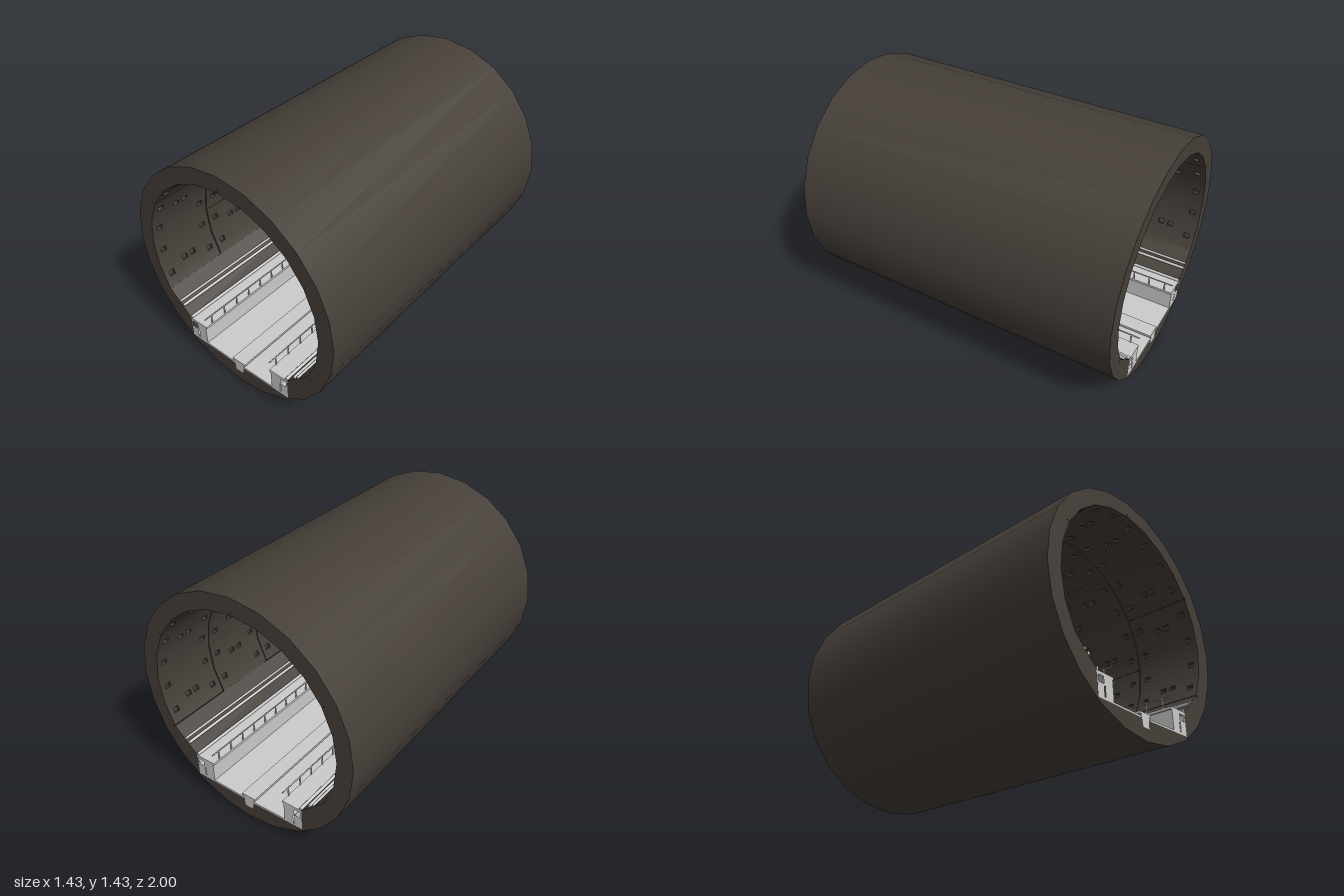
import * as THREE from 'three';
import { toCreasedNormals } from 'three/addons/utils/BufferGeometryUtils.js';

const LENGTH = 2, CY = 0.714, OUTER = 0.713, INNER = 0.614, STEP = Math.PI / 12;
const concrete = new THREE.MeshStandardMaterial({ color: 0x463f39 });
const grey = new THREE.MeshStandardMaterial({ color: 0xcccccc });

const polar = (r, a) => [r * Math.cos(a), CY + r * Math.sin(a)];
const toShape = (pts) => new THREE.Shape(pts.map(([x, y]) => new THREE.Vector2(x, y)));
const rect = (x0, y0, x1, y1) => [[x0, y0], [x1, y0], [x1, y1], [x0, y1]];

function addMesh(parent, name, geometry, material) {
  const mesh = new THREE.Mesh(geometry, material);
  mesh.name = name;
  parent.add(mesh);
  return mesh;
}

// Runs a cross-section along the whole length of the tunnel
function alongTunnel(pts, holes = []) {
  const shape = toShape(pts);
  holes.forEach((h) => shape.holes.push(toShape(h)));
  const g = new THREE.ExtrudeGeometry(shape, { depth: LENGTH, bevelEnabled: false });
  g.translate(0, 0, -LENGTH / 2);
  return toCreasedNormals(g, 0.5);
}

// One lining panel: a flat facet with bolt pockets cut through to the shell
function panelGeometry(u0, u1, z0, z1, pockets, angle) {
  const shape = toShape(rect(u0, z0, u1, z1));
  pockets.forEach(([u, z]) => shape.holes.push(toShape(rect(u - 0.015, z - 0.018, u + 0.015, z + 0.018))));
  const g = new THREE.ExtrudeGeometry(shape, { depth: 0.02, bevelEnabled: false });
  const rad = new THREE.Vector3(Math.cos(angle), Math.sin(angle), 0);
  const tan = new THREE.Vector3(Math.sin(angle), -Math.cos(angle), 0);
  const apothem = INNER * Math.cos(STEP / 2);
  // local x runs round the ring, local y along the tunnel, local z outwards
  const m = new THREE.Matrix4().makeBasis(tan.clone().negate(), new THREE.Vector3(0, 0, 1), rad);
  if (m.determinant() < 0) m.makeBasis(tan, new THREE.Vector3(0, 0, 1), rad);
  m.setPosition(rad.x * apothem, CY + rad.y * apothem, 0);
  g.applyMatrix4(m);
  // smooth the inner face so that it reads as a round bore
  const p = g.attributes.position, n = g.attributes.normal;
  for (let i = 0; i < p.count; i++) {
    if (n.getX(i) * rad.x + n.getY(i) * rad.y > -0.9) continue;
    const x = p.getX(i), y = p.getY(i) - CY, l = Math.hypot(x, y);
    n.setXYZ(i, -x / l, -y / l, 0);
  }
  return g;
}

function buildShell(parent) {
  const outer = [];
  for (let i = 0; i < 24; i++) outer.push(polar(OUTER, i * STEP));
  const bore = [];
  for (let i = -2; i <= 14; i++) bore.push(polar(0.633, i * STEP));
  // benches, floor and drain notch, from the left bench round to the right
  const half = [[0.531, 0.407], [0.38, 0.265], [0.38, 0.125], [0.035, 0.118], [0.027, 0.072]];
  half.forEach(([x, y]) => bore.push([-x, y]));
  [...half].reverse().forEach((p) => bore.push(p));
  addMesh(parent, 'tunnelShell', alongTunnel(outer, [bore]), concrete);
}

function buildLining(parent) {
  const rings = 5, ringLength = LENGTH / rings, gap = 0.003;
  const halfWidth = INNER * Math.sin(STEP / 2);
  for (let r = 0; r < rings; r++) {
    const ring = new THREE.Group();
    ring.name = 'liningRing' + (r + 1);
    const z0 = -1 + r * ringLength + (r > 0 ? gap : 0);
    const z1 = -1 + (r + 1) * ringLength - (r < rings - 1 ? gap : 0);
    const mid = (z0 + z1) / 2, stagger = (r % 2) * 2;
    for (let k = 0; k < 16; k++) {
      const place = (k + stagger) % 4;
      // panels beside a longitudinal joint carry an extra pair of pockets
      const pockets = [[0, z0 + 0.05], [0, z1 - 0.05]];
      if (place === 0 || place === 3) {
        const u = place === 0 ? 0.04 : -0.04;
        pockets.push([u, mid - 0.03], [u, mid + 0.03]);
      }
      // local x may run either way round, so both edges of a joint are cut
      const cut = place === 0 ? 0.004 : -0.003;
      const dir = 1;
      const u0 = dir * (-halfWidth + cut), u1 = halfWidth + 0.003;
      addMesh(ring, 'liningPanel', panelGeometry(u0, u1, z0, z1, pockets, (k - 1.5) * STEP), concrete);
    }
    parent.add(ring);
  }
}

function buildFloor(parent) {
  for (const s of [1, -1]) {
    const pts = [[0.38, 0.125], [0.38, 0.134], [0.035, 0.128], [0.035, 0.118]];
    addMesh(parent, s > 0 ? 'leftRoadSlab' : 'rightRoadSlab', alongTunnel(pts.map(([x, y]) => [s * x, y])), grey);
  }
  addMesh(parent, 'drainChannel',
    alongTunnel([[-0.027, 0.072], [0.027, 0.072], [0.036, 0.138], [-0.036, 0.138]]), grey);
  addMesh(parent, 'drainCover', alongTunnel(rect(-0.047, 0.138, 0.047, 0.152)), grey);
}

// Raised walkway with ducts, railing and pipes; s = 1 is the left side
function buildSide(parent, s) {
  const side = new THREE.Group();
  side.name = s > 0 ? 'leftWalkway' : 'rightWalkway';
  const flip = (pts) => pts.map(([x, y]) => [s * x, y]);
  addMesh(side, 'ductBlock', alongTunnel(flip(rect(0.258, 0.128, 0.379, 0.247)), [
    flip(rect(0.33, 0.205, 0.37, 0.243)),
    flip(rect(0.321, 0.138, 0.329, 0.195)),
  ]), grey);
  addMesh(side, 'walkwaySlab', alongTunnel(flip(rect(0.25, 0.247, 0.382, 0.262))), grey);

  // railing
  const posts = 20;
  for (let i = 0; i < posts; i++) {
    const post = addMesh(side, 'railPost', new THREE.BoxGeometry(0.005, 0.063, 0.008), grey);
    post.position.set(s * 0.254, 0.293, -0.95 + i * 0.1);
  }
  const rail = addMesh(side, 'handRail', new THREE.CylinderGeometry(0.004, 0.004, LENGTH, 8), grey);
  rail.rotation.x = Math.PI / 2;
  rail.position.set(s * 0.254, 0.32, 0);

  // pipes along the bench
  for (const [x, y, r] of [[0.374, 0.272, 0.009], [0.434, 0.329, 0.009], [0.459, 0.347, 0.007]]) {
    const pipe = addMesh(side, 'pipe', new THREE.CylinderGeometry(r, r, LENGTH, 12), grey);
    pipe.rotation.x = Math.PI / 2;
    pipe.position.set(s * x, y, 0);
  }
  parent.add(side);
}

export function createModel() {
  const model = new THREE.Group();
  model.name = 'tunnelSection';
  buildShell(model);
  buildLining(model);
  buildFloor(model);
  buildSide(model, 1);
  buildSide(model, -1);
  return model;
}
